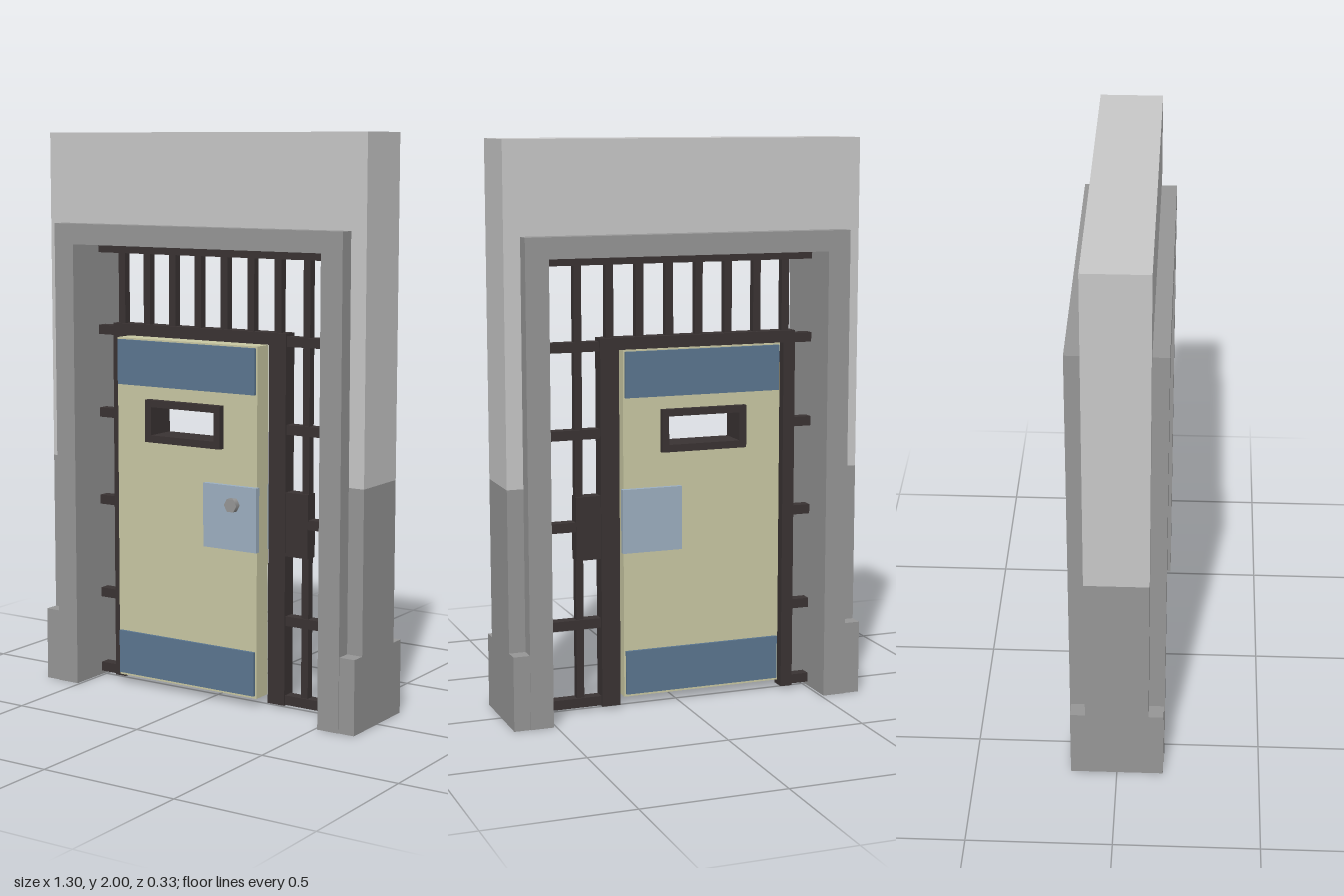
import * as THREE from 'three';

const mat = (name, color) => {
  const m = new THREE.MeshStandardMaterial({ color });
  m.name = name;
  return m;
};

export function createModel() {
  const plaster = mat('light plaster', 0xc8c8c8);
  const concrete = mat('grey concrete', 0x969696);
  const iron = mat('dark iron', 0x3a3333);
  const cream = mat('cream paint', 0xc9c8a3);
  const blue = mat('blue paint', 0x5b7690);
  const steel = mat('pale steel', 0x9db0c1);

  const model = new THREE.Group();
  model.name = 'barredDoorway';
  const group = (name) => {
    const g = new THREE.Group();
    g.name = name;
    model.add(g);
    return g;
  };
  // box given by its limits on each axis
  const box = (parent, name, material, x0, x1, y0, y1, z0, z1) => {
    const mesh = new THREE.Mesh(new THREE.BoxGeometry(x1 - x0, y1 - y0, z1 - z0), material);
    mesh.position.set((x0 + x1) / 2, (y0 + y1) / 2, (z0 + z1) / 2);
    mesh.name = name;
    parent.add(mesh);
  };
  const polygon = (pts) => pts.map(([x, y]) => new THREE.Vector2(x, y));
  const rect = (x0, x1, y0, y1) => polygon([[x0, y0], [x1, y0], [x1, y1], [x0, y1]]);
  // outline extruded between two depths, with an optional hole
  const slab = (parent, name, material, outline, hole, z0, z1) => {
    const shape = new THREE.Shape(outline);
    if (hole) shape.holes.push(new THREE.Path(hole));
    const geo = new THREE.ExtrudeGeometry(shape, { depth: z1 - z0, bevelEnabled: false });
    const mesh = new THREE.Mesh(geo, material);
    mesh.position.z = z0;
    mesh.name = name;
    parent.add(mesh);
  };

  // wall: light above, painted darker below
  const wall = group('wall');
  box(wall, 'lintelWall', plaster, -0.65, 0.65, 1.64, 2, -0.11, 0.11);
  for (const s of [-1, 1]) {
    const side = (name, m, a, b, y0, y1, z) =>
      box(wall, name, m, Math.min(s * a, s * b), Math.max(s * a, s * b), y0, y1, -z, z);
    side('upperWall', plaster, 0.55, 0.65, 0.83, 1.64, 0.11);
    side('lowerWall', concrete, 0.55, 0.65, 0.2, 0.83, 0.11);
    side('plinth', concrete, 0.511, 0.65, 0, 0.262, 0.162);
  }

  // surround of the opening
  slab(wall, 'surround', concrete, polygon([
    [-0.592, 0], [-0.51, 0], [-0.51, 1.607], [0.51, 1.607],
    [0.51, 0], [0.592, 0], [0.592, 1.68], [-0.592, 1.68]]), null, -0.165, 0.165);

  // iron bars
  const bars = group('bars');
  const bar = (name, x0, x1, y0, y1, z0 = -0.025, z1 = 0.015) =>
    box(bars, name, iron, x0, x1, y0, y1, z0, z1);
  bar('leftPost', -0.442, -0.398, 0.01, 1.32, -0.035, 0.02);
  bar('rightPost', 0.222, 0.268, 0.01, 1.32, -0.035, 0.02);
  bar('header', -0.442, 0.268, 1.278, 1.32, -0.035, 0.02);
  bar('topRail', -0.51, 0.51, 1.572, 1.602);
  for (let i = 0; i < 7; i++) {
    const x = -0.41 + i * 0.11;
    bar('transomBar', x - 0.014, x + 0.014, 1.3, 1.58, -0.019, 0.009);
  }
  bar('innerStile', 0.254, 0.268, 0.01, 1.32);
  bar('jambStrip', 0.262, 0.29, 0.01, 1.32, -0.035, 0.02);
  bar('middleStile', 0.352, 0.379, 0.02, 1.58, -0.019, 0.009);
  bar('outerStile', 0.472, 0.51, 0.02, 1.58, -0.019, 0.009);
  for (const y of [1.292, 0.988, 0.664, 0.314, 0.03]) {
    bar('leftRail', -0.51, -0.43, y - 0.017, y + 0.017);
    bar('rightRail', 0.26, 0.51, y - 0.017, y + 0.017);
  }
  bar('lockBox', 0.26, 0.38, 0.545, 0.77, -0.03, 0.018);

  // door leaf with a view slot
  const door = group('door');
  const slot = rect(-0.235, 0.04, 0.93, 1.035);
  slab(door, 'doorLeaf', cream, rect(-0.393, 0.2, 0.03, 1.274), slot, -0.012, 0.06);
  for (const [y0, y1] of [[0.04, 0.198], [1.106, 1.268]]) {
    box(door, 'kickBandFront', blue, -0.387, 0.194, y0, y1, 0.058, 0.07);
    box(door, 'kickBandBack', blue, -0.387, 0.194, y0, y1, -0.022, -0.01);
  }
  slab(door, 'slotFrame', iron, rect(-0.257, 0.062, 0.908, 1.06),
    rect(-0.231, 0.036, 0.934, 1.035), -0.032, 0.085);

  // lock plates and knob
  box(door, 'lockPlateFront', steel, -0.012, 0.208, 0.556, 0.784, 0.058, 0.078);
  box(door, 'lockPlateBack', steel, -0.012, 0.208, 0.556, 0.784, -0.03, -0.01);
  const knobGeo = new THREE.CylinderGeometry(0.026, 0.026, 0.025, 6);
  knobGeo.rotateY(Math.PI / 6).rotateX(Math.PI / 2);
  const knob = new THREE.Mesh(knobGeo.toNonIndexed(), concrete);
  knob.position.set(0.115, 0.718, 0.088);
  knob.name = 'knob';
  door.add(knob);

  return model;
}
